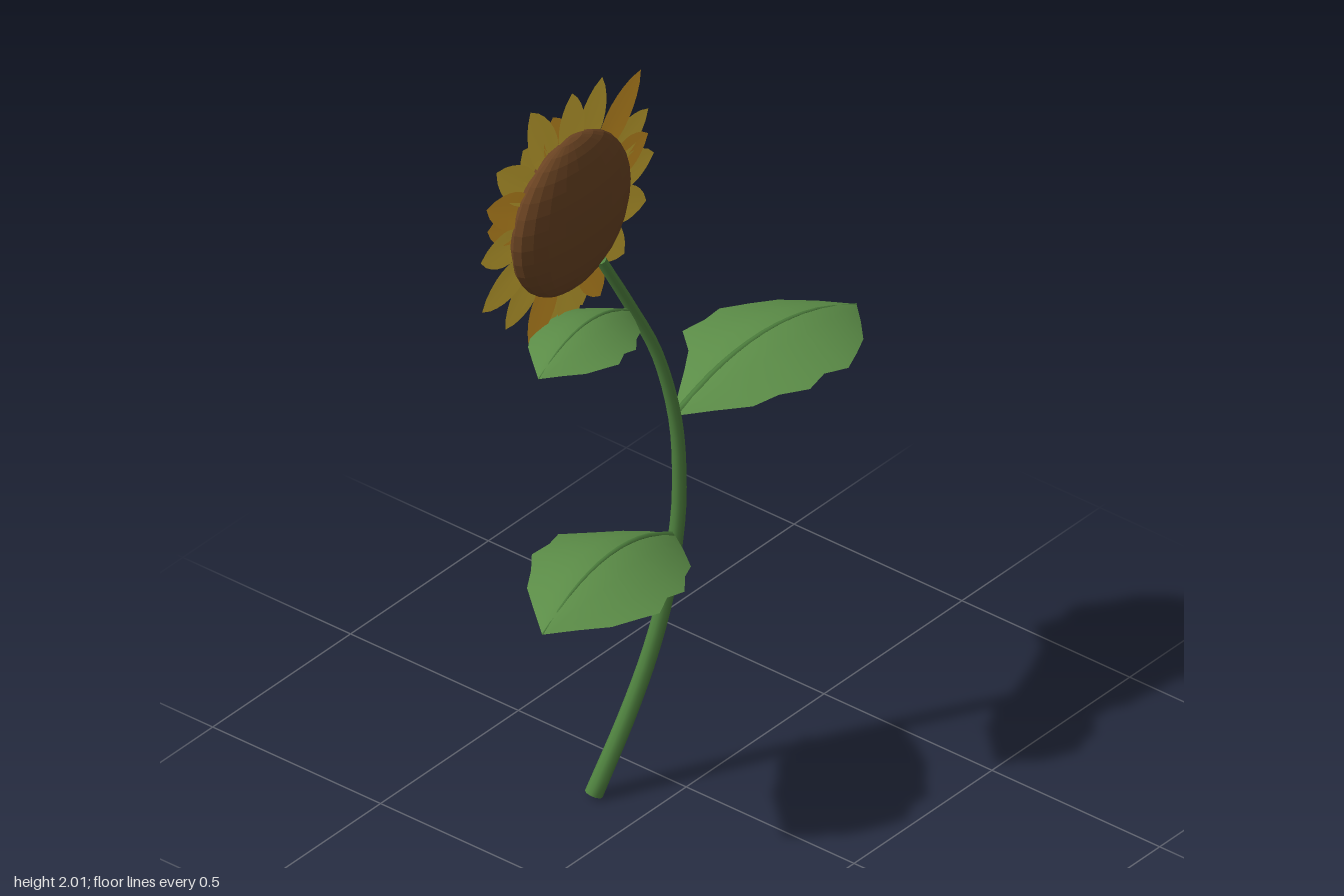
import * as THREE from 'three';

const mat = (name, color, opts = {}) => {
  const m = new THREE.MeshStandardMaterial({ color, ...opts });
  m.name = name;
  return m;
};
const V = (x, y, z) => new THREE.Vector3(x, y, z);

// Tube along points whose radius runs from r0 to r1
function taperedTube(points, r0, r1, segments, sides) {
  const curve = new THREE.CatmullRomCurve3(points);
  const geo = new THREE.TubeGeometry(curve, segments, 1, sides, false);
  const pos = geo.attributes.position;
  for (let k = 0; k < pos.count; k++) {
    const t = Math.floor(k / (sides + 1)) / segments;
    const c = curve.getPointAt(t);
    const p = V().fromBufferAttribute(pos, k).sub(c).multiplyScalar(r0 + (r1 - r0) * t).add(c);
    pos.setXYZ(k, p.x, p.y, p.z);
  }
  geo.computeVertexNormals();
  return { geo, curve };
}

// Leaf outline: near and far edges, in z from the leaf base, at equal steps along its length
const FAR = [0, -0.03, -0.06, -0.095, -0.16, -0.14, -0.145, -0.1, -0.065, 0.003, 0.075];
const NEAR = [0, 0.075, 0.145, 0.175, 0.22, 0.215, 0.24, 0.218, 0.19, 0.135, 0.075];
const LEAF_LENGTH = 0.575;
const leafMid = (t) => V(LEAF_LENGTH * t, 0.366 * t - 0.32 * t * t, 0.075 * t);

function leafGeometry(side) {
  const rows = FAR.length - 1, cols = 6;
  const geo = new THREE.PlaneGeometry(1, 1, cols, rows);
  const pos = geo.attributes.position;
  for (let k = 0; k < pos.count; k++) {
    const i = Math.floor(k / (cols + 1));
    const s = ((k % (cols + 1)) / cols) * 2 - 1;
    const m = leafMid(i / rows);
    const half = s < 0 ? m.z - FAR[i] : NEAR[i] - m.z;
    // blade droops away from the midrib
    pos.setXYZ(k, side * m.x, m.y - 0.24 * half * Math.abs(s) ** 1.3, m.z + s * half);
  }
  // keep the upper face outward on both sides
  if (side > 0) {
    const idx = geo.index;
    for (let k = 0; k < idx.count; k += 3) {
      const a = idx.getX(k);
      idx.setX(k, idx.getX(k + 1));
      idx.setX(k + 1, a);
    }
  }
  geo.computeVertexNormals();
  return geo;
}

// Pointed petal running along +y from the flower centre, creased down the middle
function petalGeometry(reach, width) {
  const start = 0.15;
  const geo = new THREE.PlaneGeometry(1, 1, 4, 8);
  const pos = geo.attributes.position;
  for (let k = 0; k < pos.count; k++) {
    const s = pos.getX(k) * 2, t = pos.getY(k) + 0.5;
    const w = (width / 2) * Math.sin(Math.PI * (0.12 + 0.88 * t)) ** 0.75;
    pos.setXYZ(k, s * (t > 0.999 ? 0 : w), start + (reach - start) * t, 0.01 * (Math.abs(s) - 0.5) * (1 - t));
  }
  geo.computeVertexNormals();
  return geo;
}

export function createModel() {
  const stemGreen = mat('stem green', 0x4f823f);
  const leafGreen = mat('leaf green', 0x5b8c47, { side: THREE.DoubleSide });
  const yellow = mat('petal yellow', 0xe0bc38, { side: THREE.DoubleSide });
  const amber = mat('petal amber', 0xe0a228, { side: THREE.DoubleSide });
  const brown = mat('seed brown', 0x6a4322, { flatShading: true });

  const model = new THREE.Group();
  const add = (parent, name, geo, material) => {
    const mesh = new THREE.Mesh(geo, material);
    mesh.name = name;
    parent.add(mesh);
    return mesh;
  };

  // Stem, with a cap on each end
  const { geo, curve } = taperedTube([
    V(-0.167, 0.008, -0.138), V(-0.09, 0.2, -0.102), V(-0.04, 0.36, -0.075), V(-0.007, 0.52, -0.053),
    V(0.012, 0.7, -0.037), V(0.014, 0.82, -0.032), V(0.001, 1.0, -0.033), V(-0.043, 1.2, -0.052),
    V(-0.105, 1.35, -0.08), V(-0.18, 1.505, -0.106),
  ], 0.022, 0.013, 32, 10);
  add(model, 'stem', geo, stemGreen);
  for (const [t, r, dir] of [[0, 0.022, -1], [1, 0.013, 1]]) {
    const cap = add(model, 'stemCap', new THREE.CircleGeometry(r, 10), stemGreen);
    cap.position.copy(curve.getPointAt(t));
    cap.quaternion.setFromUnitVectors(V(0, 0, 1), curve.getTangentAt(t).multiplyScalar(dir));
  }

  // Leaves: base position, side and scale
  const leaves = [
    ['lowerLeaf', V(0.005, 0.68, -0.04), -1, 0.99],
    ['middleLeaf', V(0, 1.008, -0.04), 1, 1],
    ['upperLeaf', V(-0.11, 1.342, -0.08), -1, 0.68],
  ];
  for (const [name, base, side, scale] of leaves) {
    const leaf = new THREE.Group();
    leaf.name = name;
    leaf.position.copy(base);
    leaf.scale.setScalar(scale);
    add(leaf, 'blade', leafGeometry(side), leafGreen);
    const ribPoints = [0, 0.25, 0.5, 0.75, 1].map((t) => {
      const p = leafMid(t);
      return V(side * p.x, p.y, p.z);
    });
    add(leaf, 'midrib', taperedTube(ribPoints, 0.008, 0.002, 14, 5).geo, stemGreen);
    model.add(leaf);
  }

  // Flower head
  const flower = new THREE.Group();
  flower.name = 'flower';
  flower.position.set(-0.26, 1.665, -0.132);
  const disc = add(flower, 'seedDisc', new THREE.SphereGeometry(1, 22, 16), brown);
  disc.scale.set(0.207, 0.207, 0.062);

  // Petals: angle in degrees and reach from the centre
  const petals = [
    [111, 0.365], [87, 0.32], [67, 0.332], [44, 0.37], [24, 0.325], [13, 0.3], [0, 0.317], [-22, 0.308],
    [-47, 0.307], [-68, 0.317], [-88, 0.343], [-113, 0.343], [-136, 0.307], [-159, 0.332], [177, 0.312],
    [152, 0.333], [137, 0.348], [99, 0.285], [122, 0.29], [-78, 0.3], [-102, 0.3], [163, 0.295],
  ];
  petals.forEach(([angle, reach], i) => {
    const petal = add(flower, 'petal', petalGeometry(reach, 0.095), i % 3 === 1 ? yellow : i % 2 ? amber : yellow);
    petal.rotation.z = THREE.MathUtils.degToRad(angle - 90);
    petal.position.z = -0.011 + (i > 16 ? -0.004 : (i % 2) * 0.003);
  });
  model.add(flower);

  return model;
}
